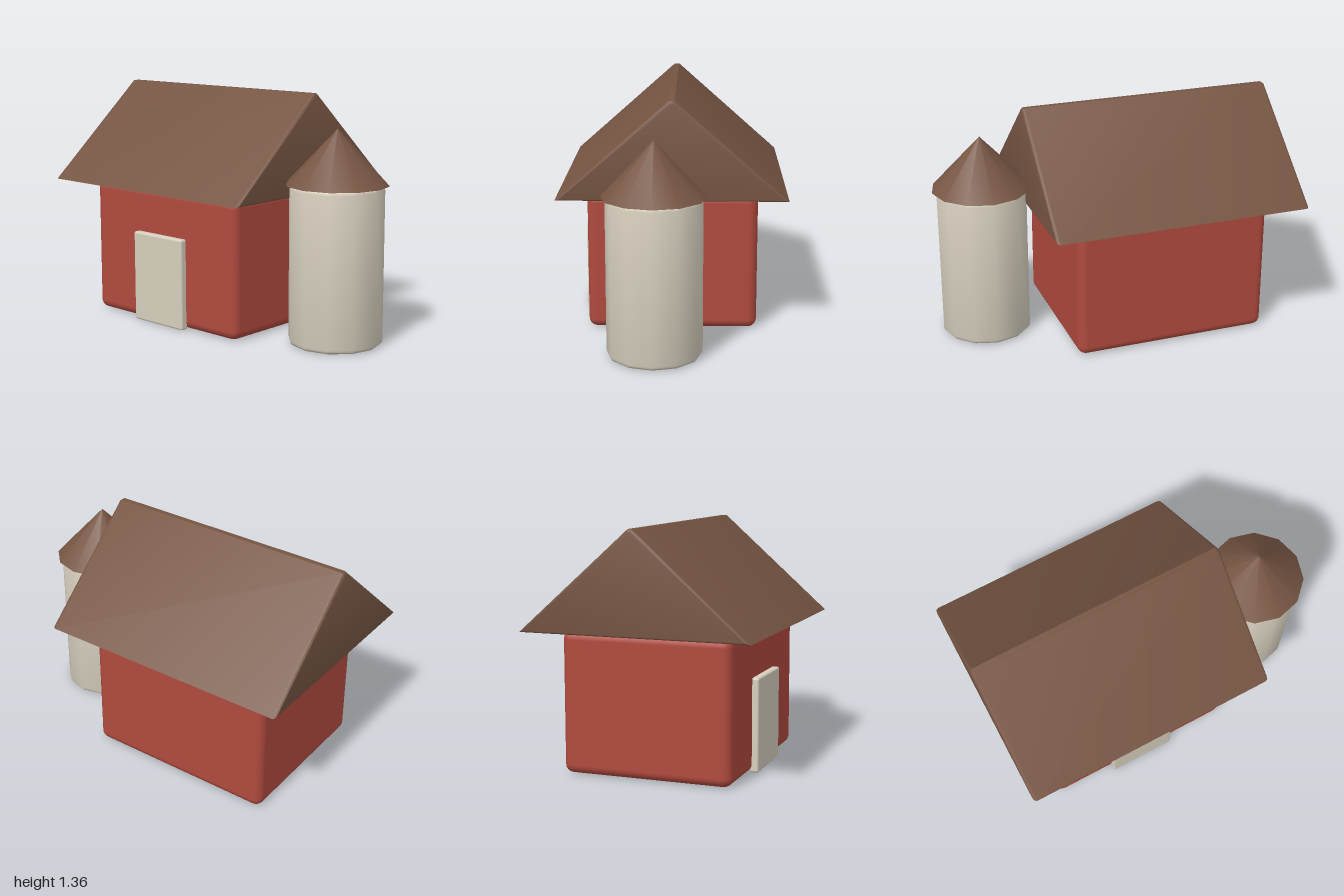
import * as THREE from 'three';
import { toCreasedNormals } from 'three/addons/utils/BufferGeometryUtils.js';
import { RoundedBoxGeometry } from 'three/addons/geometries/RoundedBoxGeometry.js';

const paint = (name, color) => {
  const m = new THREE.MeshStandardMaterial({ color });
  m.name = name;
  return m;
};

export function createModel() {
  const red = paint('barnRed', 0xb04a3e);
  const brown = paint('roofBrown', 0x765543);
  const cream = paint('cream', 0xd7cfbe);

  const model = new THREE.Group();
  model.name = 'barn';
  const add = (name, geometry, material, x, y, z) => {
    const mesh = new THREE.Mesh(geometry, material);
    mesh.name = name;
    mesh.position.set(x, y, z);
    model.add(mesh);
  };

  // Barn walls and door
  add('barnBody', new RoundedBoxGeometry(1.14, 0.79, 0.964, 3, 0.05), red, -0.253, 0.397, 0);
  add('door', new RoundedBoxGeometry(0.394, 0.527, 0.05, 2, 0.012), cream, -0.257, 0.265, 0.494);

  // Gable roof: bevelled prism running along x, slightly blunt at the ridge
  const bevel = 0.02, length = 1.49;
  const gable = new THREE.Shape([
    new THREE.Vector2(-0.645, 0),
    new THREE.Vector2(0.645, 0),
    new THREE.Vector2(0.015, 0.558),
    new THREE.Vector2(-0.015, 0.558),
  ]);
  const roof = new THREE.ExtrudeGeometry(gable, {
    depth: length - 2 * bevel, bevelEnabled: true, bevelSize: bevel,
    bevelThickness: bevel, bevelOffset: -bevel, bevelSegments: 3,
  });
  roof.translate(0, 0, bevel - length / 2).rotateY(Math.PI / 2);
  add('roof', toCreasedNormals(roof, 0.6), brown, -0.255, 0.797, 0);

  // Silo: twelve-sided drum with rounded rims
  const r = 0.262, h = 0.885, b = 0.025;
  const profile = [new THREE.Vector2(0, 0)];
  for (const [cy, start] of [[b, -Math.PI / 2], [h - b, 0]]) {
    for (let i = 0; i <= 3; i++) {
      const a = start + (i * Math.PI) / 6;
      profile.push(new THREE.Vector2(r - b + b * Math.cos(a), cy + b * Math.sin(a)));
    }
  }
  profile.push(new THREE.Vector2(0, h));
  add('silo', toCreasedNormals(new THREE.LatheGeometry(profile, 12), 0.6), cream, 0.71, 0, 0.088);

  // Silo cap
  add('siloRoof', new THREE.ConeGeometry(0.285, 0.305, 12), brown, 0.712, 1.034, 0.088);

  return model;
}
